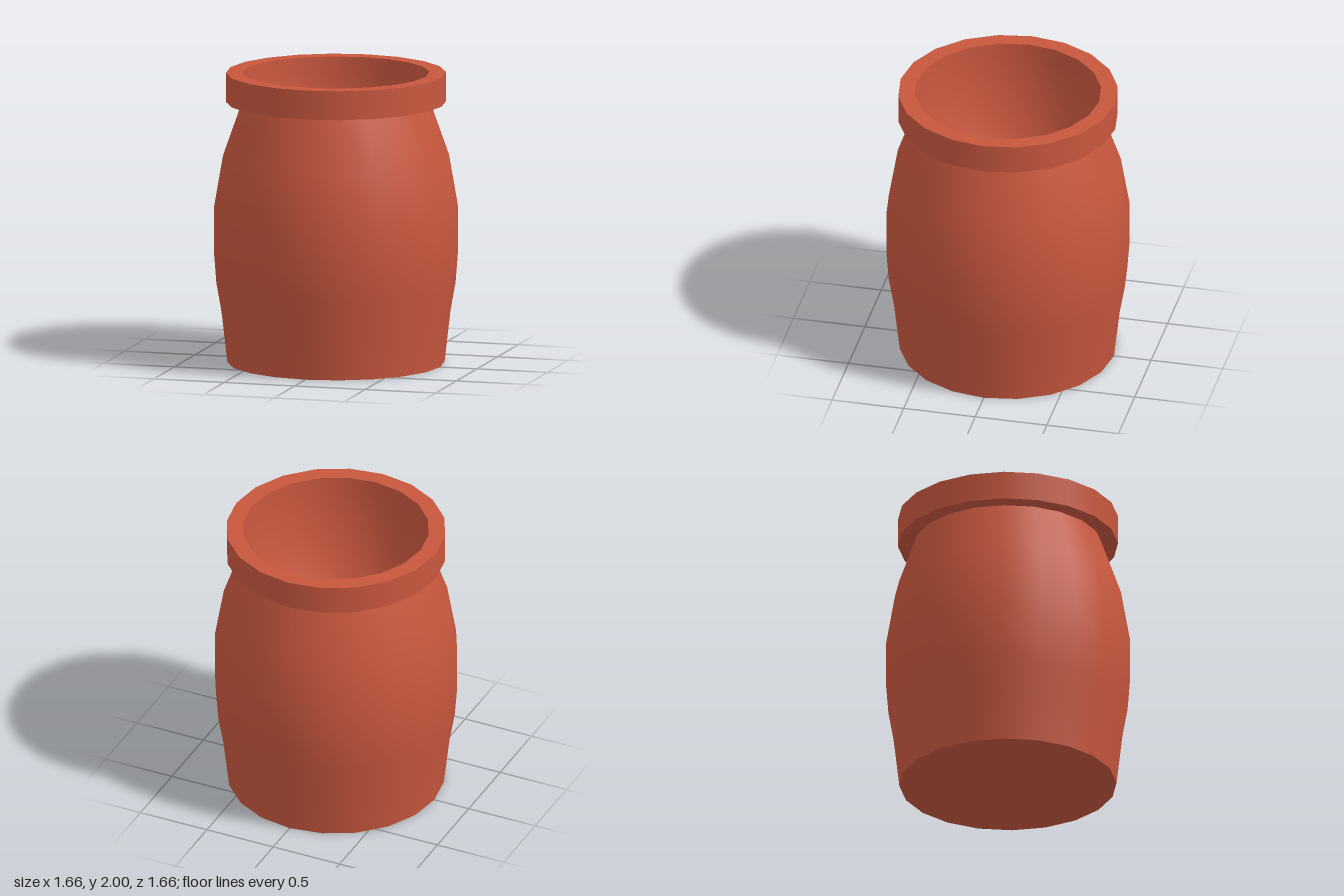
import * as THREE from 'three';

const SIDES = 20;

export function createModel() {
  const pot = new THREE.Group();
  pot.name = 'pot';
  const clay = new THREE.MeshStandardMaterial({ color: 0xc8573e });
  clay.name = 'terracotta';

  // Each turned section is smooth within itself and sharp where it meets the next
  const turn = (name, profile) => {
    const points = profile.map(([r, y]) => new THREE.Vector2(r, y));
    const mesh = new THREE.Mesh(new THREE.LatheGeometry(points, SIDES), clay);
    mesh.name = name;
    pot.add(mesh);
  };

  // Flat underside and bulging body
  turn('base', [[0, 0], [0.74, 0]]);
  turn('body', [
    [0.74, 0], [0.78, 0.35], [0.815, 0.55], [0.832, 0.77],
    [0.832, 1.07], [0.77, 1.43], [0.64, 1.8],
  ]);

  // Square-edged collar
  turn('collarUnderside', [[0.63, 1.8], [0.75, 1.8]]);
  turn('collarSide', [[0.75, 1.8], [0.75, 2]]);
  turn('collarTop', [[0.75, 2], [0.636, 2]]);

  // Rounded hollow, a half ellipse turned about the axis
  const hollow = [];
  const steps = 16;
  for (let i = 0; i <= steps; i++) {
    const a = (i / steps) * Math.PI / 2;
    hollow.push([i === steps ? 0 : 0.636 * Math.cos(a), 2 - 1.15 * Math.sin(a)]);
  }
  turn('hollow', hollow);

  return pot;
}
